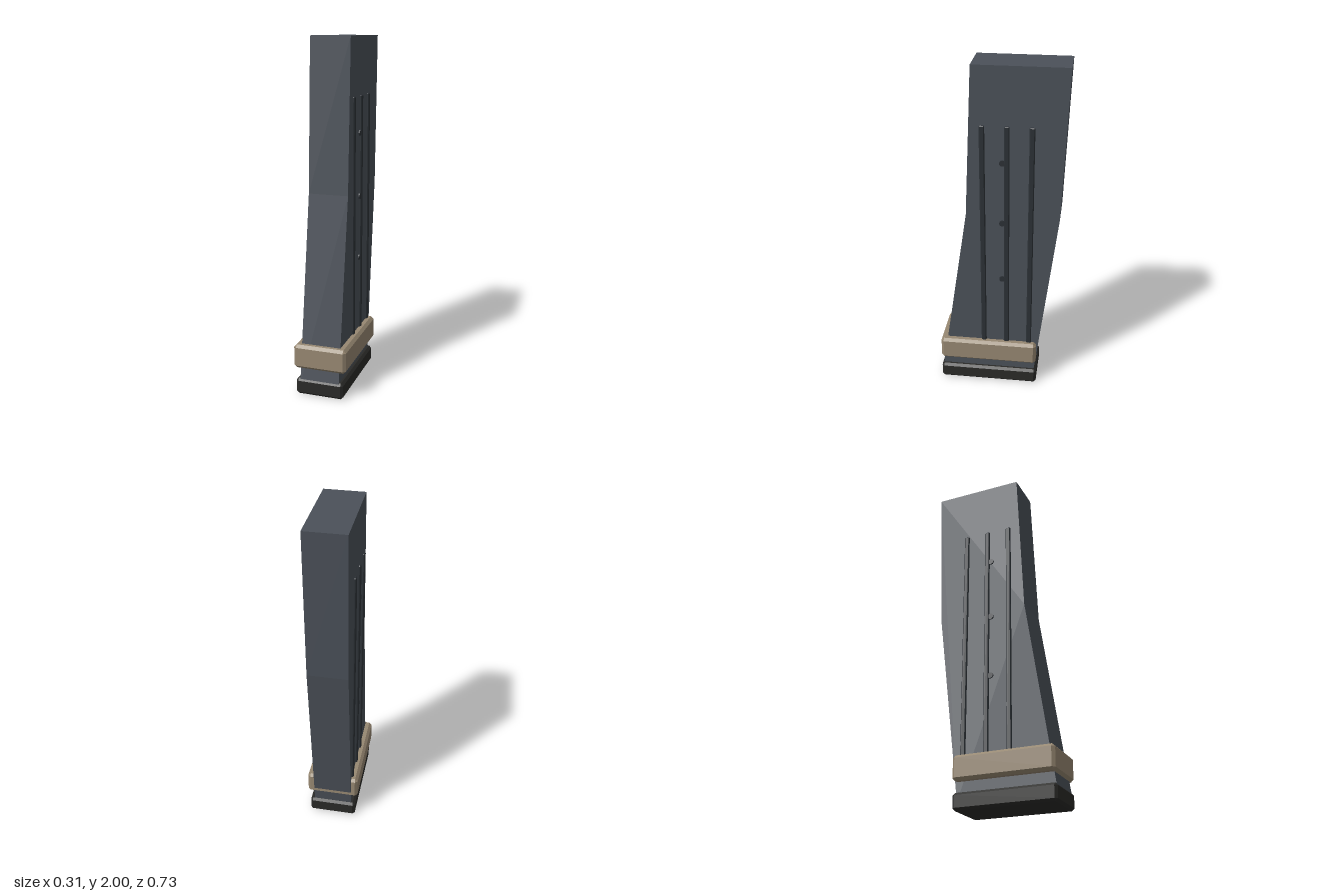
import * as THREE from 'three';
import { ConvexGeometry } from 'three/addons/geometries/ConvexGeometry.js';

const mat = (color) => new THREE.MeshStandardMaterial({ color, flatShading: true });

// Box with every edge chamfered by c
function chamferBox(w, h, d, c) {
  const [x, y, z] = [w / 2, h / 2, d / 2];
  const points = [];
  for (const i of [-1, 1]) for (const j of [-1, 1]) for (const k of [-1, 1]) {
    points.push(
      new THREE.Vector3(i * x, j * (y - c), k * (z - c)),
      new THREE.Vector3(i * (x - c), j * y, k * (z - c)),
      new THREE.Vector3(i * (x - c), j * (y - c), k * z)
    );
  }
  return new ConvexGeometry(points);
}

export function createModel() {
  const model = new THREE.Group();
  const bodyMat = mat(0x4b5159);
  const darkMat = mat(0x2c3136);
  const baseMat = mat(0x2a2a28);
  const tanMat = mat(0x978872);

  const add = (name, geometry, material, x, y, z) => {
    const mesh = new THREE.Mesh(geometry, material);
    mesh.name = name;
    mesh.position.set(x, y, z);
    model.add(mesh);
    return mesh;
  };

  // Bent body: side profile (z, y) extruded across the width
  const profile = [
    [0.363, 0.05], [-0.202, 0.05], [-0.334, 1.14],
    [-0.366, 2], [0.156, 2], [0.196, 1.14]
  ].map(([z, y]) => new THREE.Vector2(z, y));
  const bodyGeo = new THREE.ExtrudeGeometry(new THREE.Shape(profile), { depth: 0.23, bevelEnabled: false });
  bodyGeo.translate(0, 0, -0.115).rotateY(-Math.PI / 2);
  add('body', bodyGeo, bodyMat, 0, 0, 0);

  // Base plate and the band above it
  add('basePlate', chamferBox(0.28, 0.095, 0.588, 0.014), baseMat, 0, 0.0475, 0.072);
  add('band', chamferBox(0.31, 0.14, 0.582, 0.016), tanMat, 0, 0.225, 0.072);

  // Vertical ribs and small studs on both sides
  const ribGeo = chamferBox(0.024, 1.425, 0.03, 0.005);
  const studGeo = new THREE.CylinderGeometry(0.017, 0.017, 0.02, 12).rotateZ(Math.PI / 2);
  for (const [side, s] of [['left', 1], ['right', -1]]) {
    [0.1, -0.036, -0.172].forEach((z, i) =>
      add(`${side}Rib${i + 1}`, ribGeo, darkMat, s * 0.113, 0.9625, z));
    [0.735, 1.1, 1.465].forEach((y, i) =>
      add(`${side}Stud${i + 1}`, studGeo, darkMat, s * 0.113, y, -0.011));
  }
  return model;
}
